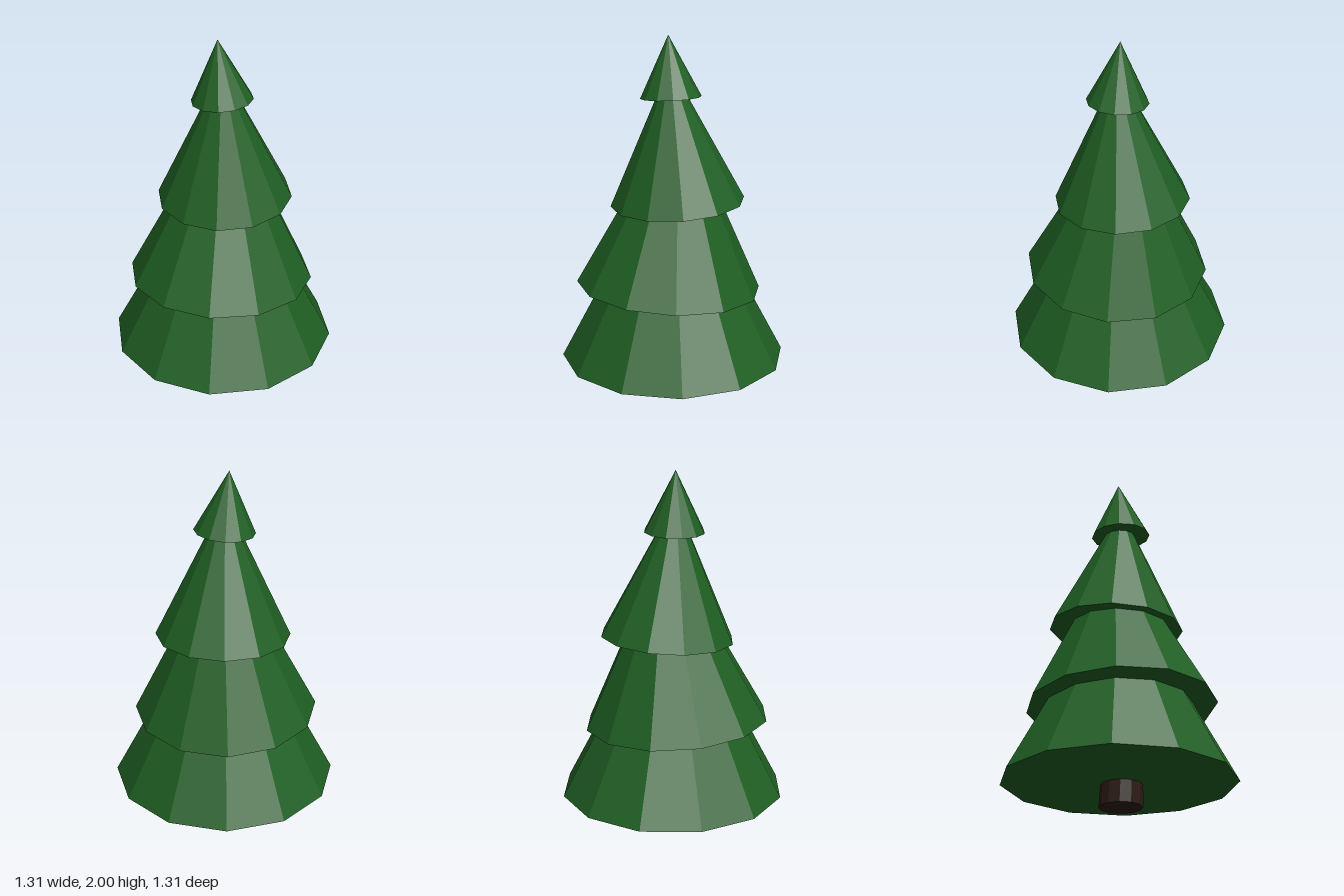
import * as THREE from 'three';

const SIDES = 12;

export function createModel() {
  const tree = new THREE.Group();
  tree.name = 'pineTree';

  const leaves = new THREE.MeshStandardMaterial({ color: 0x1f5f23, flatShading: true });
  const bark = new THREE.MeshStandardMaterial({ color: 0x2e1c14, flatShading: true });

  // A closed cone whose axis runs from the centre of its base to its tip
  function addTier(name, radius, base, tip) {
    const from = new THREE.Vector3(...base);
    const axis = new THREE.Vector3(...tip).sub(from);
    const height = axis.length();
    const geometry = new THREE.ConeGeometry(radius, height, SIDES);
    geometry.translate(0, height / 2, 0);
    const tier = new THREE.Mesh(geometry, leaves);
    tier.name = name;
    tier.position.copy(from);
    tier.quaternion.setFromUnitVectors(new THREE.Vector3(0, 1, 0), axis.normalize());
    tree.add(tier);
  }

  // Foliage, each tier leaning a little its own way
  addTier('bottomTier', 0.653, [0, 0.122, 0], [0, 1.35, 0]);
  addTier('lowerMiddleTier', 0.535, [-0.02, 0.551, 0.016], [0.025, 1.6, -0.027]);
  addTier('upperMiddleTier', 0.386, [0.02, 1.047, -0.02], [-0.012, 1.84, 0.013]);
  addTier('topTier', 0.173, [-0.008, 1.655, 0.009], [-0.03, 2, -0.003]);

  // Trunk: tapered, flat on the ground, leaning towards the left side
  const trunkHeight = 0.3;
  const trunkGeometry = new THREE.CylinderGeometry(0.11, 0.122, trunkHeight, SIDES);
  trunkGeometry.translate(0, trunkHeight / 2, 0);
  const p = trunkGeometry.attributes.position;
  for (let i = 0; i < p.count; i++) {
    const y = p.getY(i);
    p.setX(i, p.getX(i) + 0.05 - 0.1 * y);
    p.setZ(i, p.getZ(i) + 0.005 + 0.05 * y);
  }
  trunkGeometry.computeVertexNormals();
  const trunk = new THREE.Mesh(trunkGeometry, bark);
  trunk.name = 'trunk';
  tree.add(trunk);

  return tree;
}
